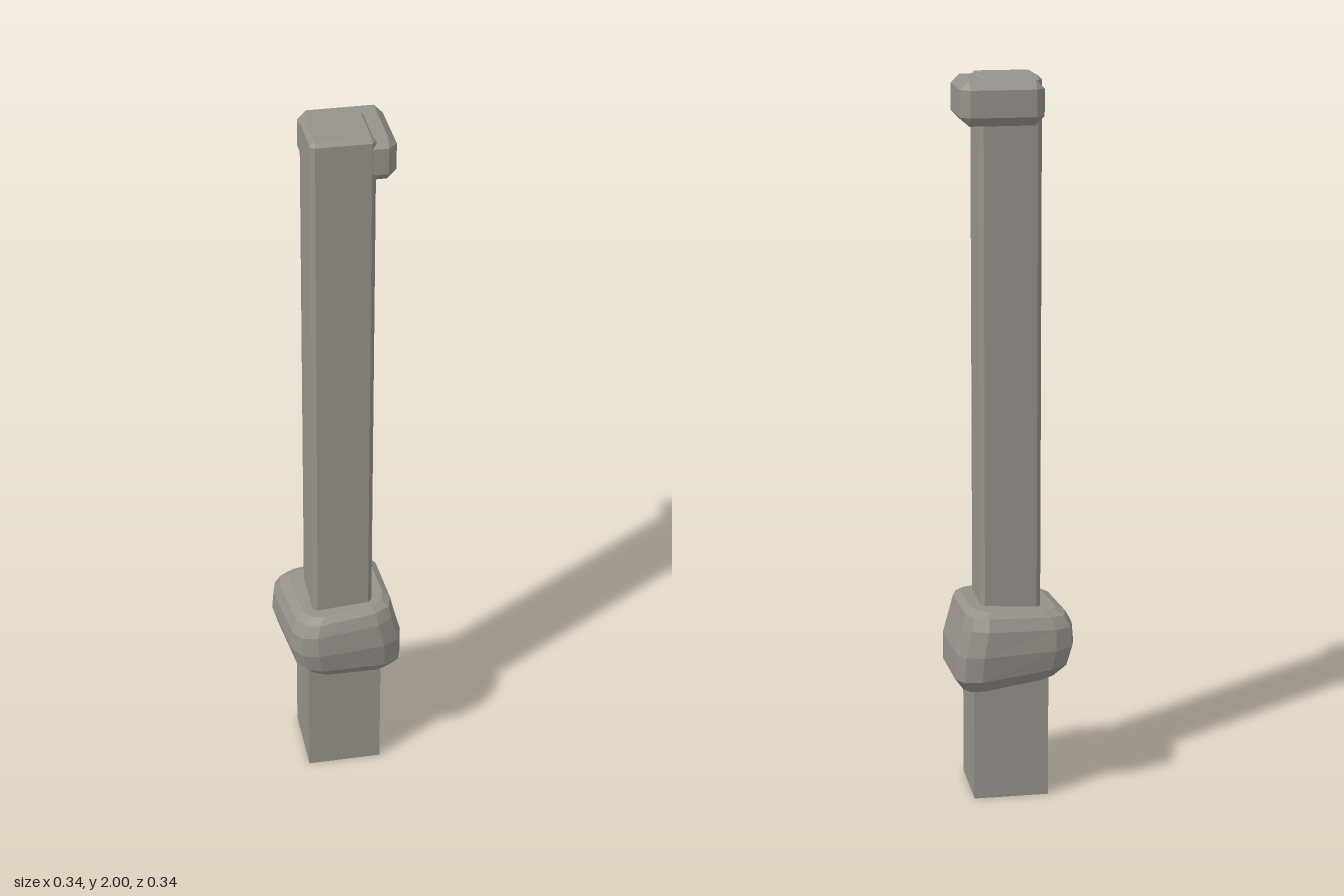
import * as THREE from 'three';

// Skin a stack of equal-length point rings (bottom to top), closed at both ends
function loft(rings) {
  const pos = [];
  const n = rings[0].length;
  const tri = (a, b, c) => pos.push(...a, ...b, ...c);
  const centre = (ring) => [0, 1, 2].map((k) => ring.reduce((s, p) => s + p[k], 0) / n);
  for (let r = 0; r < rings.length - 1; r++) {
    for (let i = 0; i < n; i++) {
      const j = (i + 1) % n;
      const lo = rings[r], hi = rings[r + 1];
      tri(lo[i], hi[i], lo[j]);
      tri(lo[j], hi[i], hi[j]);
    }
  }
  const bottom = rings[0], top = rings[rings.length - 1];
  const cb = centre(bottom), ct = centre(top);
  for (let i = 0; i < n; i++) {
    const j = (i + 1) % n;
    tri(cb, bottom[i], bottom[j]);
    tri(ct, top[j], top[i]);
  }
  const geo = new THREE.BufferGeometry();
  geo.setAttribute('position', new THREE.Float32BufferAttribute(pos, 3));
  geo.computeVertexNormals();
  return geo;
}

// Box with all edges chamfered by c
function chamferBox(x0, x1, y0, y1, z0, z1, c) {
  const ring = (y, inset) => {
    const a = x0 + inset, b = x1 - inset, d = z0 + inset, e = z1 - inset;
    const k = c - inset;
    return [[a, d + k], [a + k, d], [b - k, d], [b, d + k], [b, e - k], [b - k, e], [a + k, e], [a, e - k]]
      .map(([x, z]) => [x, y, z]);
  };
  return loft([ring(y0, c), ring(y0 + c, 0), ring(y1 - c, 0), ring(y1, c)]);
}

export function createModel() {
  const group = new THREE.Group();
  const stone = new THREE.MeshStandardMaterial({ color: 0x96918a });
  stone.name = 'warm grey stone';
  const add = (name, geo) => {
    const mesh = new THREE.Mesh(geo, stone);
    mesh.name = name;
    group.add(mesh);
    return mesh;
  };

  // Square foot
  add('foot', new THREE.BoxGeometry(0.208, 0.4, 0.208)).position.set(0.004, 0.2, 0.006);

  // Tall shaft with softened edges
  add('shaft', chamferBox(-0.082, 0.086, 0.45, 2, -0.077, 0.09, 0.012));

  // Offset cap, overhanging to one side and the back
  add('cap', chamferBox(-0.081, 0.141, 1.875, 1.994, -0.135, 0.0885, 0.024));

  // Crooked collar: one skewed outline, scaled, shifted and tilted per level
  const outline = [
    [-0.16, -0.128], [-0.113, -0.152], [0.09, -0.172], [0.138, -0.157],
    [0.16, -0.115], [0.17, 0.075], [0.155, 0.122], [0.11, 0.147],
    [-0.08, 0.168], [-0.123, 0.155], [-0.15, 0.113], [-0.172, -0.083],
  ];
  // [height, scale x, scale z, shift x, tilt along x]
  const levels = [
    [0.338, 0.78, 0.78, 0.012, -0.09],
    [0.375, 0.96, 0.95, 0.008, -0.09],
    [0.44, 1, 1, 0, -0.02],
    [0.505, 0.93, 0.96, -0.008, 0.04],
    [0.538, 0.86, 0.87, -0.004, 0.05],
    [0.552, 0.72, 0.74, 0, 0.05],
  ];
  add('collar', loft(levels.map(([y, sx, sz, dx, tilt]) =>
    outline.map(([x, z]) => [x * sx + dx, y + tilt * x, z * sz]))));

  return group;
}
